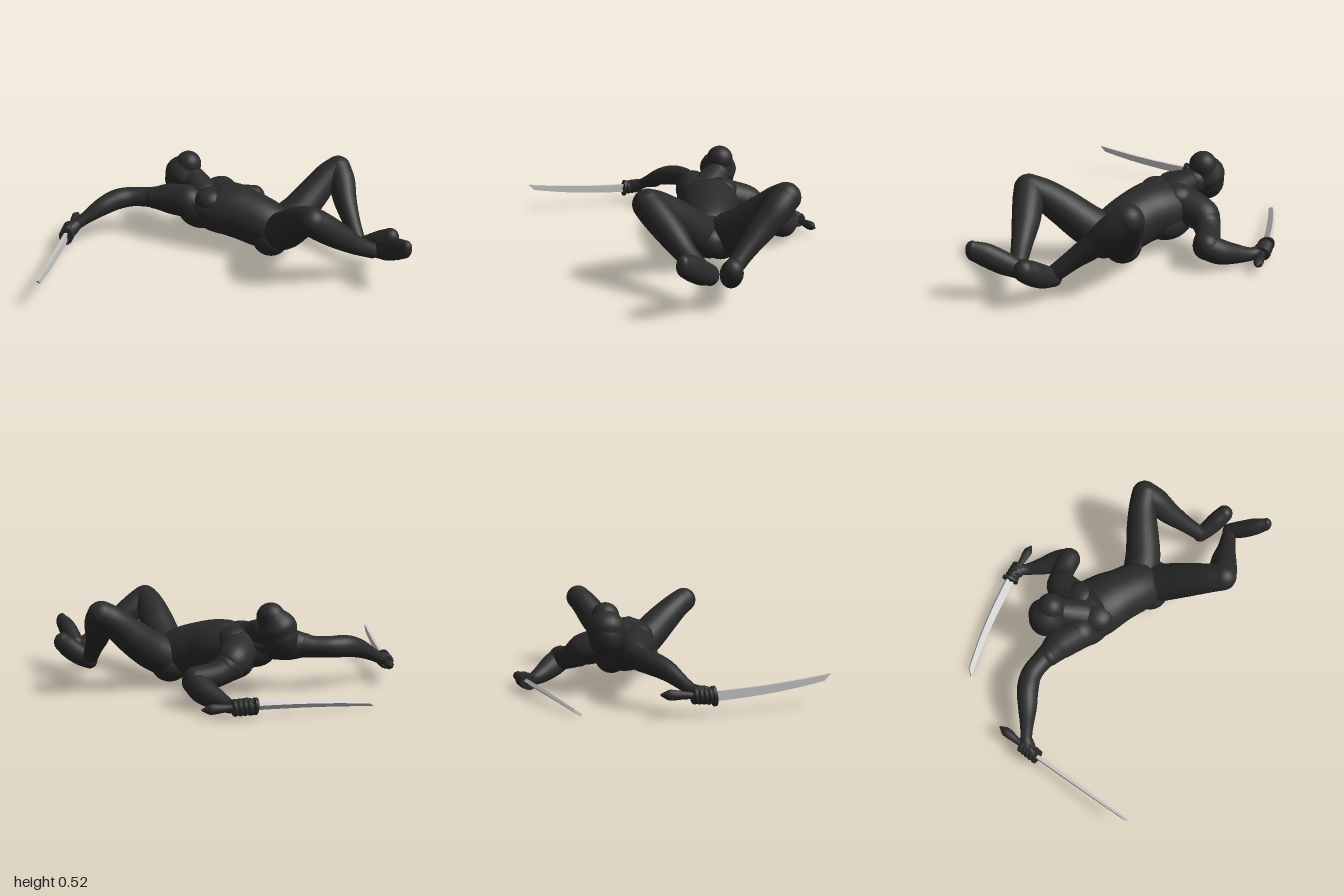
import * as THREE from 'three';
import { mergeGeometries, mergeVertices } from 'three/addons/utils/BufferGeometryUtils.js';

const V = (a) => new THREE.Vector3(a[0], a[1], a[2]);

export function createModel() {
  const suit = new THREE.MeshStandardMaterial({ color: 0x2a2a2a });
  suit.name = 'suit black';
  const steel = new THREE.MeshStandardMaterial({ color: 0xc8c8c8 });
  steel.name = 'blade steel';

  const model = new THREE.Group();
  model.name = 'swordFighter';

  const add = (name, geo, mat = suit, parent = model) => {
    const mesh = new THREE.Mesh(geo, mat);
    mesh.name = name;
    parent.add(mesh);
    return mesh;
  };

  // Round-ended tube through points [x, y, z, radius, verticalRadius?]
  function limb(name, pts, steps = 36, sides = 24) {
    const path = new THREE.CatmullRomCurve3(pts.map(V));
    const radii = new THREE.CatmullRomCurve3(pts.map((p) => new THREE.Vector3(p[3], p[4] ?? p[3], 0)), false, 'catmullrom', 0.5);
    const tube = new THREE.TubeGeometry(path, steps, 1, sides);
    const pos = tube.attributes.position;
    for (let i = 0; i <= steps; i++) {
      const c = path.getPointAt(i / steps);
      const r = radii.getPoint(path.getUtoTmapping(i / steps));
      for (let j = 0; j <= sides; j++) {
        const k = i * (sides + 1) + j;
        pos.setXYZ(k, c.x + (pos.getX(k) - c.x) * r.x, c.y + (pos.getY(k) - c.y) * r.y, c.z + (pos.getZ(k) - c.z) * r.x);
      }
    }
    tube.deleteAttribute('uv');
    tube.deleteAttribute('normal');
    const body = mergeVertices(tube, 1e-5);
    body.computeVertexNormals();
    const caps = [pts[0], pts[pts.length - 1]].map((p) => {
      const cap = new THREE.SphereGeometry(1, sides, 14).scale(p[3], p[4] ?? p[3], p[3]).translate(p[0], p[1], p[2]);
      cap.deleteAttribute('uv');
      return cap;
    });
    return add(name, mergeGeometries([body, ...caps]));
  }

  // Muscle with its long axis along the spine
  function muscle(name, center, size) {
    const mesh = add(name, new THREE.SphereGeometry(1, 32, 22).scale(...size));
    mesh.position.set(...center);
    mesh.rotation.y = -Math.PI / 4;
  }

  // Torso, defined along the spine: s = distance toward the feet, p = sideways
  const at = (s, p, y, ...r) => [0.707 * (s + p), y, 0.707 * (s - p), ...r];
  limb('torso', [
    at(-0.11, 0.235, 0.28, 0.125, 0.07),
    at(-0.05, 0.235, 0.255, 0.168, 0.115),
    at(0.03, 0.235, 0.232, 0.178, 0.15),
    at(0.13, 0.23, 0.227, 0.17, 0.157),
    at(0.23, 0.22, 0.21, 0.155, 0.154),
    at(0.33, 0.215, 0.185, 0.15, 0.147),
    at(0.42, 0.215, 0.155, 0.14, 0.127),
    at(0.48, 0.215, 0.15, 0.095, 0.09),
  ], 48, 32);
  for (const side of [-1, 1]) {
    muscle('chestMuscle', at(0.01, 0.237 + side * 0.075, 0.3), [0.095, 0.072, 0.095]);
    muscle('buttock', at(0.4, 0.215 + side * 0.065, 0.122), [0.105, 0.097, 0.1]);
  }
  muscle('leftBackMuscle', at(0.06, 0.31, 0.165), [0.16, 0.1, 0.1]);
  muscle('rightBackMuscle', at(-0.05, 0.158, 0.215), [0.14, 0.105, 0.1]);

  // Head, tipped with the chin up
  limb('neck', [[0.125, 0.285, -0.2, 0.095], [0.1, 0.345, -0.32, 0.078]]);
  limb('head', [[0.047, 0.328, -0.395, 0.1, 0.11], [0.06, 0.378, -0.385, 0.108, 0.108], [0.085, 0.433, -0.368, 0.078]]);

  // Right arm, stretched out
  limb('rightShoulder', [[0.02, 0.265, -0.2, 0.1], [-0.07, 0.255, -0.3, 0.09], [-0.14, 0.25, -0.35, 0.068]]);
  limb('rightArm', [
    [-0.08, 0.255, -0.31, 0.075], [-0.18, 0.245, -0.385, 0.06], [-0.27, 0.243, -0.43, 0.06],
    [-0.36, 0.238, -0.435, 0.062], [-0.46, 0.212, -0.42, 0.054], [-0.56, 0.165, -0.41, 0.038], [-0.62, 0.135, -0.405, 0.033],
  ]);

  // Left arm, folded back beside the head
  limb('leftShoulder', [[0.22, 0.25, -0.25, 0.105], [0.31, 0.215, -0.355, 0.093], [0.35, 0.19, -0.37, 0.078]]);
  limb('leftUpperArm', [[0.33, 0.195, -0.37, 0.08], [0.42, 0.16, -0.375, 0.068], [0.527, 0.14, -0.355, 0.071]]);
  limb('leftForearm', [
    [0.53, 0.132, -0.355, 0.07], [0.52, 0.098, -0.43, 0.068], [0.488, 0.07, -0.52, 0.053],
    [0.463, 0.055, -0.6, 0.037], [0.45, 0.058, -0.64, 0.034],
  ]);

  // Legs, both bent at the knee
  limb('leftThigh', [
    [0.5, 0.165, 0.1, 0.11], [0.6, 0.225, 0.095, 0.105], [0.72, 0.32, 0.07, 0.094],
    [0.82, 0.41, 0.055, 0.08], [0.88, 0.445, 0.058, 0.077],
  ]);
  limb('leftShin', [
    [0.88, 0.445, 0.06, 0.076], [0.873, 0.39, 0.125, 0.078], [0.853, 0.31, 0.21, 0.068],
    [0.84, 0.22, 0.32, 0.051], [0.833, 0.145, 0.41, 0.044],
  ]);
  limb('leftFoot', [
    [0.835, 0.115, 0.428, 0.045, 0.048], [0.872, 0.138, 0.47, 0.052, 0.06], [0.918, 0.178, 0.52, 0.056, 0.064], [0.95, 0.21, 0.555, 0.051, 0.057],
  ]);
  limb('rightThigh', [
    [0.43, 0.16, 0.17, 0.112], [0.435, 0.22, 0.27, 0.11], [0.425, 0.32, 0.4, 0.098],
    [0.418, 0.395, 0.51, 0.084], [0.422, 0.425, 0.577, 0.079],
  ]);
  limb('rightShin', [
    [0.422, 0.425, 0.577, 0.079], [0.48, 0.385, 0.577, 0.081], [0.58, 0.315, 0.58, 0.074],
    [0.7, 0.235, 0.592, 0.055], [0.81, 0.18, 0.6, 0.044],
  ]);
  limb('rightFoot', [
    [0.855, 0.178, 0.605, 0.045, 0.052], [0.858, 0.21, 0.67, 0.05, 0.062], [0.865, 0.253, 0.745, 0.048, 0.063], [0.875, 0.282, 0.808, 0.034, 0.052],
  ]);

  // Curved sword with guard, grip and a closed fist
  function sword(side, guard, tip, pommel, widthDir, bulge, wrist) {
    const g = V(guard), t = V(tip), e = V(pommel);
    const length = g.distanceTo(t);
    const X = t.clone().sub(g).normalize();
    const Z = X.clone().cross(V(widthDir)).normalize();
    const Y = Z.clone().cross(X);
    const frame = new THREE.Group();
    frame.name = side + 'Sword';
    frame.position.copy(g);
    frame.quaternion.setFromRotationMatrix(new THREE.Matrix4().makeBasis(X, Y, Z));
    model.add(frame);

    // Blade keeps its width up to a slanted tip
    const shape = new THREE.Shape();
    shape.moveTo(0, -0.025);
    shape.quadraticCurveTo(length * 0.5, bulge * 2 - 0.023, length, -0.012);
    shape.lineTo(length * 0.94, 0.02);
    shape.quadraticCurveTo(length * 0.5, bulge * 2 + 0.023, 0, 0.025);
    const blade = new THREE.ExtrudeGeometry(shape, { depth: 0.02, bevelEnabled: false, curveSegments: 20 }).translate(0, 0, -0.01);
    const p = blade.attributes.position;
    for (let i = 0; i < p.count; i++) p.setZ(i, p.getZ(i) * (1 - 0.4 * p.getX(i) / length));
    blade.computeVertexNormals();
    add('blade', blade, steel, frame);
    const disc = new THREE.CylinderGeometry(0.052, 0.052, 0.016, 20).rotateZ(Math.PI / 2).scale(1, 1, 0.8);
    add('guard', disc, suit, frame);

    // Grip flares, then closes to a blunt point
    const along = (f, r) => [...g.clone().lerp(e, f).toArray(), r];
    limb(side + 'Grip', [along(0, 0.019), along(0.5, 0.019), along(0.85, 0.027), along(1, 0.007)], 20, 8);

    // Fist around the grip
    const axis = e.clone().sub(g).normalize();
    const turn = new THREE.Quaternion().setFromUnitVectors(new THREE.Vector3(0, 0, 1), axis);
    for (let i = 0; i < 4; i++) {
      const finger = add(side + 'Finger', new THREE.TorusGeometry(0.03, 0.0145, 10, 20));
      finger.position.copy(g).addScaledVector(axis, 0.025 + i * 0.025);
      finger.quaternion.copy(turn);
    }
    const palm = g.clone().addScaledVector(axis, 0.06).lerp(V(wrist), 0.3);
    limb(side + 'Palm', [[...wrist, 0.034], [...palm.toArray(), 0.043]]);
    const thumb = g.clone().addScaledVector(axis, 0.015);
    limb(side + 'Thumb', [[...wrist, 0.02], [...palm.clone().lerp(thumb, 0.5).add(new THREE.Vector3(0, 0.03, 0)).toArray(), 0.017],
      [thumb.x, thumb.y + 0.028, thumb.z, 0.013]], 16, 12);
  }
  sword('left', [0.37, 0.065, -0.7], [-0.27, 0.018, -0.832], [0.615, 0.06, -0.616], [0.1, 0.65, -0.75], 0.016, [0.45, 0.06, -0.64]);
  sword('right', [-0.71, 0.105, -0.33], [-1, 0.172, 0.24], [-0.578, 0.125, -0.563], [0, -1, 0], 0.012, [-0.62, 0.135, -0.405]);

  return model;
}
